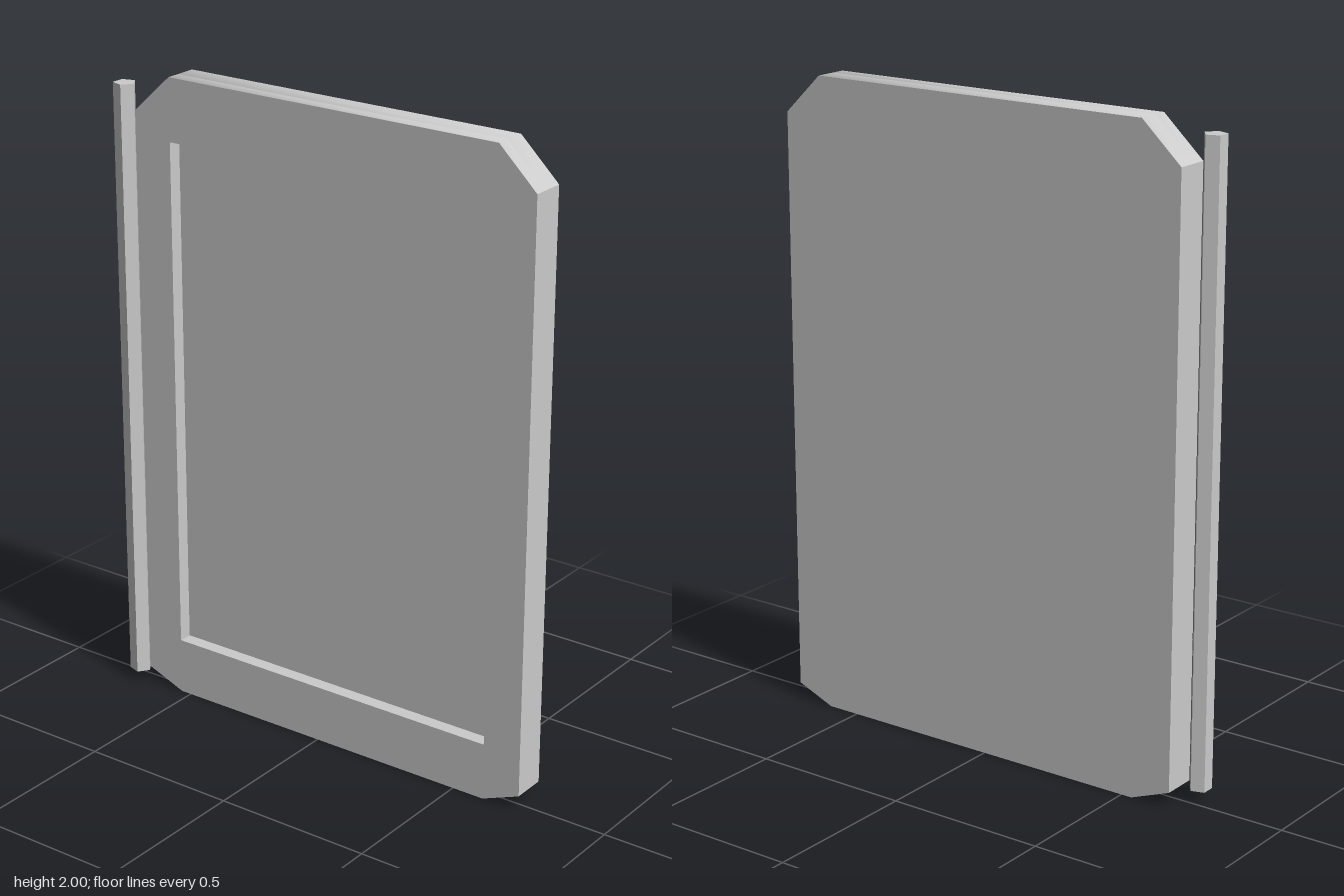
import * as THREE from 'three';
import { toCreasedNormals } from 'three/addons/utils/BufferGeometryUtils.js';

const BACK = -0.072, FRONT = 0.037, RECESS = 0.043;

// Closed path from a list of [x, y] corners
const points = (list) => list.map(([x, y]) => new THREE.Vector2(x, y));

function slab(shape, z0, z1) {
  const geo = new THREE.ExtrudeGeometry(shape, { depth: z1 - z0, bevelEnabled: false });
  geo.translate(0, 0, z0);
  return toCreasedNormals(geo, Math.PI / 4);
}

export function createModel() {
  const group = new THREE.Group();
  const grey = new THREE.MeshStandardMaterial({ color: 0xcccccc });
  const add = (name, geo, material = grey) => {
    const mesh = new THREE.Mesh(geo, material);
    mesh.name = name;
    group.add(mesh);
    return mesh;
  };

  // Door outline with clipped corners, steeper at the top than at the bottom
  const outline = points([
    [-0.535, 0], [0.605, 0], [0.73, 0.05], [0.73, 1.88],
    [0.605, 2], [-0.535, 2], [-0.665, 1.88], [-0.665, 0.05],
  ]);

  // Raised border around the sunken field
  const border = new THREE.Shape(outline);
  border.holes.push(new THREE.Path(points([
    [-0.535, 0.18], [-0.535, 1.805], [0.605, 1.805], [0.605, 0.18],
  ])));
  const floor = FRONT - RECESS;
  add('border', slab(border, floor, FRONT));

  // Solid panel behind the border
  add('panel', slab(new THREE.Shape(outline), BACK, floor));

  // Five-sided hinge rod on the right edge, one corner touching the door
  const rodMaterial = new THREE.MeshStandardMaterial({ color: 0xcccccc, flatShading: true });
  const rod = add('hingeRod',
    new THREE.CylinderGeometry(0.035, 0.035, 1.925, 5, 1, false, Math.PI / 2), rodMaterial);
  rod.position.set(-0.701, 0.9975, 0.038);

  return group;
}
